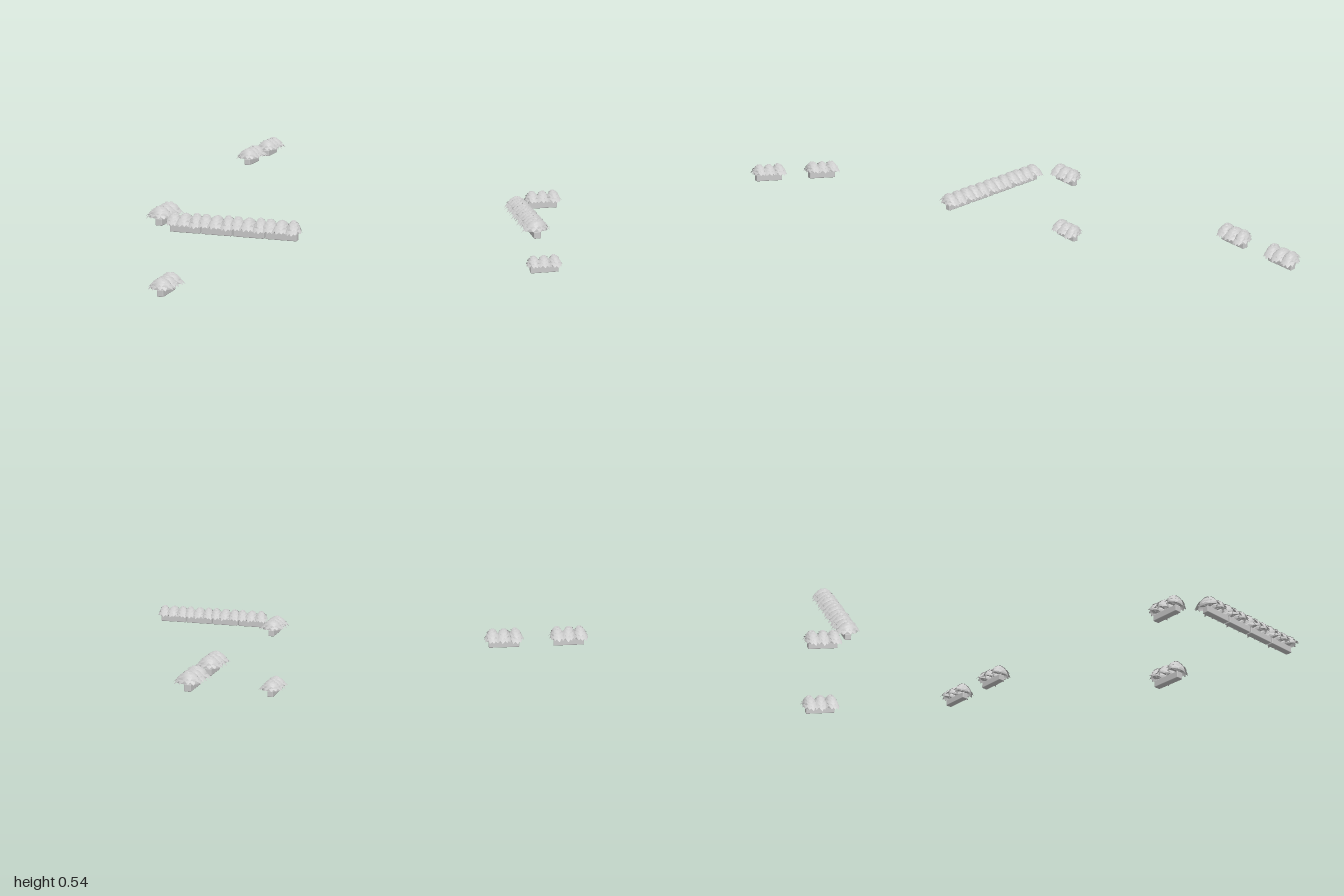
import * as THREE from 'three';
import { mergeGeometries } from 'three/addons/utils/BufferGeometryUtils.js';
import { RoundedBoxGeometry } from 'three/addons/geometries/RoundedBoxGeometry.js';

const material = new THREE.MeshStandardMaterial({ color: 0xcccccc });
const leafMaterial = new THREE.MeshStandardMaterial({ color: 0xcccccc, side: THREE.DoubleSide });

// Small seeded generator, returns -1..1
function seeded(seed) {
  let s = seed;
  return () => {
    s = (s * 16807) % 2147483647;
    return (s / 2147483647) * 2 - 1;
  };
}

// Half size of a bush along the planter and across it
const ALONG = 0.043, ACROSS = 0.074;

// Leaf tiers: count, start and tip as [share of radius, height], leaf half width
const TIERS = [
  { count: 12, from: [0.45, 0.062], to: [0.99, 0.04], half: 0.014 },
  { count: 10, from: [0.3, 0.077], to: [0.83, 0.057], half: 0.014 },
  { count: 8, from: [0.12, 0.087], to: [0.62, 0.073], half: 0.013 },
  { count: 5, from: [0.0, 0.09], to: [0.36, 0.086], half: 0.011 },
];

// One arched leaf, folded along its midrib and pointed at the tip
function leaf(angle, tier, rand) {
  const reach = tier.to[0] * (1 + rand() * 0.07);
  const lift = rand() * 0.004;
  const c = Math.cos(angle), s = Math.sin(angle);
  const widths = [0.45, 0.95, 1, 0.7, 0.06];
  const pos = [], index = [];
  widths.forEach((w, i) => {
    const t = i / (widths.length - 1);
    const r = THREE.MathUtils.lerp(tier.from[0], reach, t);
    const y = THREE.MathUtils.lerp(tier.from[1], tier.to[1], t) + lift * t + Math.sin(t * Math.PI) * 0.007;
    for (const side of [-1, 0, 1]) {
      const o = side * w * tier.half;
      pos.push(c * r * ALONG - s * o, y - Math.abs(side) * 0.003 * w, s * r * ACROSS + c * o);
    }
    if (i) {
      for (const k of [0, 1]) {
        const a = (i - 1) * 3 + k, b = a + 3;
        index.push(a, a + 1, b, a + 1, b + 1, b);
      }
    }
  });
  const g = new THREE.BufferGeometry();
  g.setAttribute('position', new THREE.Float32BufferAttribute(pos, 3));
  g.setIndex(index);
  g.computeVertexNormals();
  return g;
}

// A bush: a domed core covered in tiers of leaves
function bushGeometry(seed) {
  const rand = seeded(seed);
  const core = new THREE.SphereGeometry(1, 14, 6, 0, Math.PI * 2, 0, Math.PI / 2);
  core.scale(ALONG * 0.78, 0.052, ACROSS * 0.74).translate(0, 0.039, 0);
  core.deleteAttribute('uv');
  const parts = [core];
  TIERS.forEach((tier, n) => {
    for (let i = 0; i < tier.count; i++) {
      const angle = ((i + (n % 2) * 0.5 + rand() * 0.2) / tier.count) * Math.PI * 2;
      parts.push(leaf(angle, tier, rand));
    }
  });
  return mergeGeometries(parts);
}

const bushes = [11, 257, 4099].map(bushGeometry);
const boxGeometry = new RoundedBoxGeometry(0.156, 0.036, 0.035, 2, 0.004);

// A planter with three bushes, its long side along x
function flowerBox() {
  const group = new THREE.Group();
  group.name = 'flowerBox';
  const planter = new THREE.Mesh(boxGeometry, material);
  planter.name = 'planter';
  planter.position.y = 0.018;
  group.add(planter);
  bushes.forEach((geometry, i) => {
    const bush = new THREE.Mesh(geometry, leafMaterial);
    bush.name = 'bush';
    bush.position.x = (i - 1) * 0.058;
    bush.rotation.y = [0.12, -0.1, 0.14][i];
    group.add(bush);
  });
  return group;
}

export function createModel() {
  const model = new THREE.Group();
  model.name = 'flowerBoxes';
  const quarter = Math.PI / 2;
  // x, y, z, turn
  const places = [
    [-0.342, 0, 0.76, quarter],
    [-0.342, 0.366, 0.76, quarter],
    [-0.366, 0.445, -0.568, quarter],
    [-0.366, 0.445, -0.896, -quarter],
  ];
  // Row of four across the front
  for (let i = 0; i < 4; i++) places.push([-0.16 + i * 0.164, 0.366, 0.922, 0]);
  for (const [x, y, z, turn] of places) {
    const box = flowerBox();
    box.position.set(x, y, z);
    box.rotation.y = turn;
    model.add(box);
  }
  return model;
}
